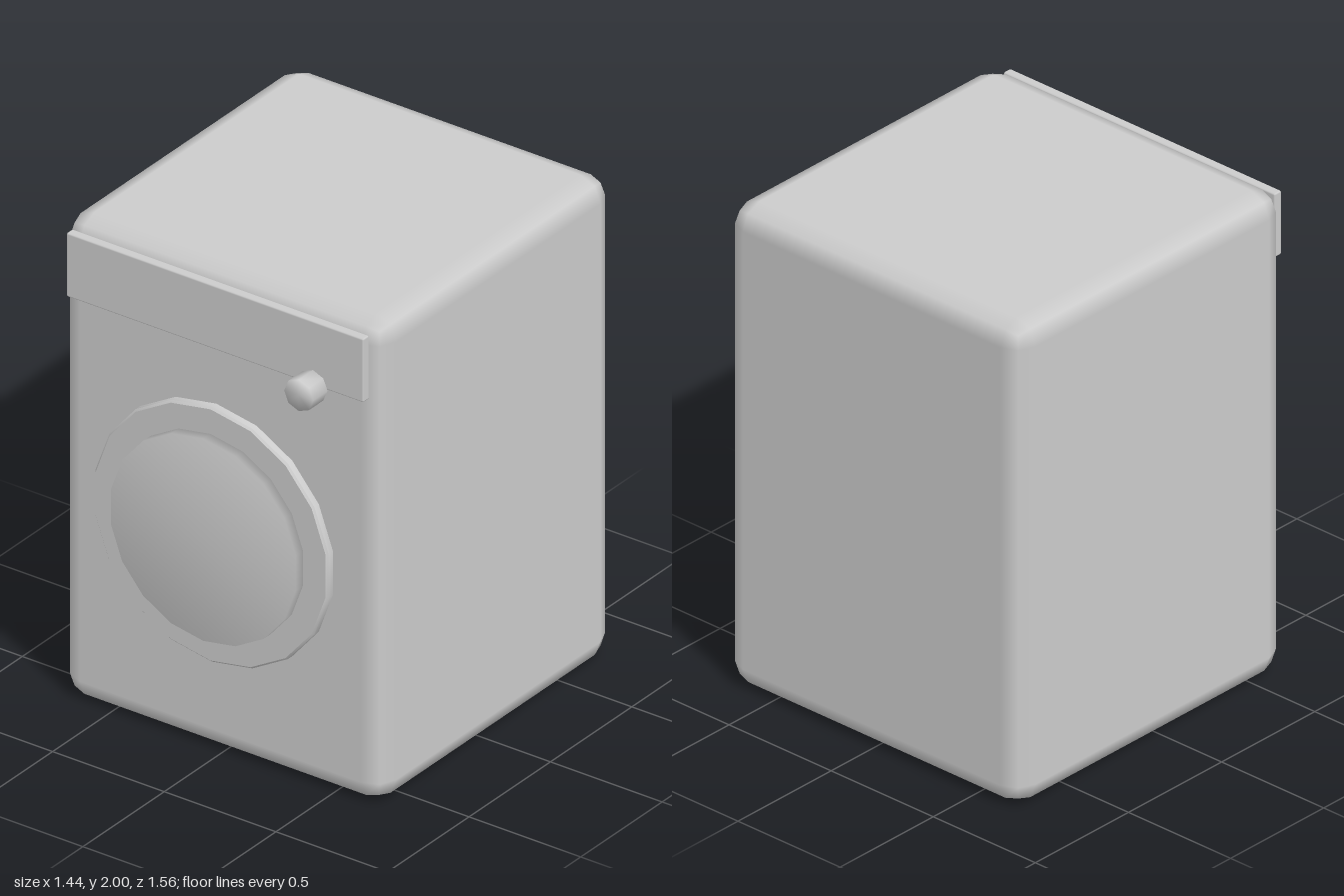
import * as THREE from 'three';
import { mergeVertices, toCreasedNormals } from 'three/addons/utils/BufferGeometryUtils.js';
import { RoundedBoxGeometry } from 'three/addons/geometries/RoundedBoxGeometry.js';

export function createModel() {
  const group = new THREE.Group();
  const enamel = new THREE.MeshStandardMaterial({ color: 0xcccccc });
  enamel.name = 'greyEnamel';

  const add = (name, geometry, x, y, z) => {
    const mesh = new THREE.Mesh(geometry, enamel);
    mesh.name = name;
    mesh.position.set(x, y, z);
    group.add(mesh);
  };

  // Cylinder facing +z whose normals blend across the rim, so the cap looks domed
  const softDisc = (radius, depth, sides) => {
    const g = new THREE.CylinderGeometry(radius, radius, depth, sides);
    g.deleteAttribute('uv');
    g.deleteAttribute('normal');
    const soft = mergeVertices(g);
    soft.computeVertexNormals();
    return soft.rotateX(Math.PI / 2);
  };

  // Disc facing +z with a narrow chamfer on both rims
  const chamferedDisc = (radius, depth, sides, chamfer) => {
    const h = depth / 2;
    const profile = [
      [0, -h], [radius - chamfer, -h], [radius, -h + chamfer],
      [radius, h - chamfer], [radius - chamfer, h], [0, h],
    ].map(([x, y]) => new THREE.Vector2(x, y));
    const g = new THREE.LatheGeometry(profile, sides);
    return toCreasedNormals(g, 0.6).rotateX(Math.PI / 2);
  };

  // Cabinet with rounded edges
  add('cabinet', new RoundedBoxGeometry(1.44, 2, 1.435, 1, 0.09), 0, 1, -0.0645);

  // Control panel and dial
  add('controlPanel', new RoundedBoxGeometry(1.33, 0.265, 0.038, 1, 0.007), 0, 1.8275, 0.671);
  add('dial', softDisc(0.065, 0.088, 8), 0.443, 1.695, 0.738);

  // Round door: outer rim and raised window
  add('doorRim', chamferedDisc(0.53, 0.043, 18, 0.008), 0, 0.937, 0.694);
  add('doorWindow', softDisc(0.42, 0.06, 18), 0, 0.937, 0.73);

  return group;
}
